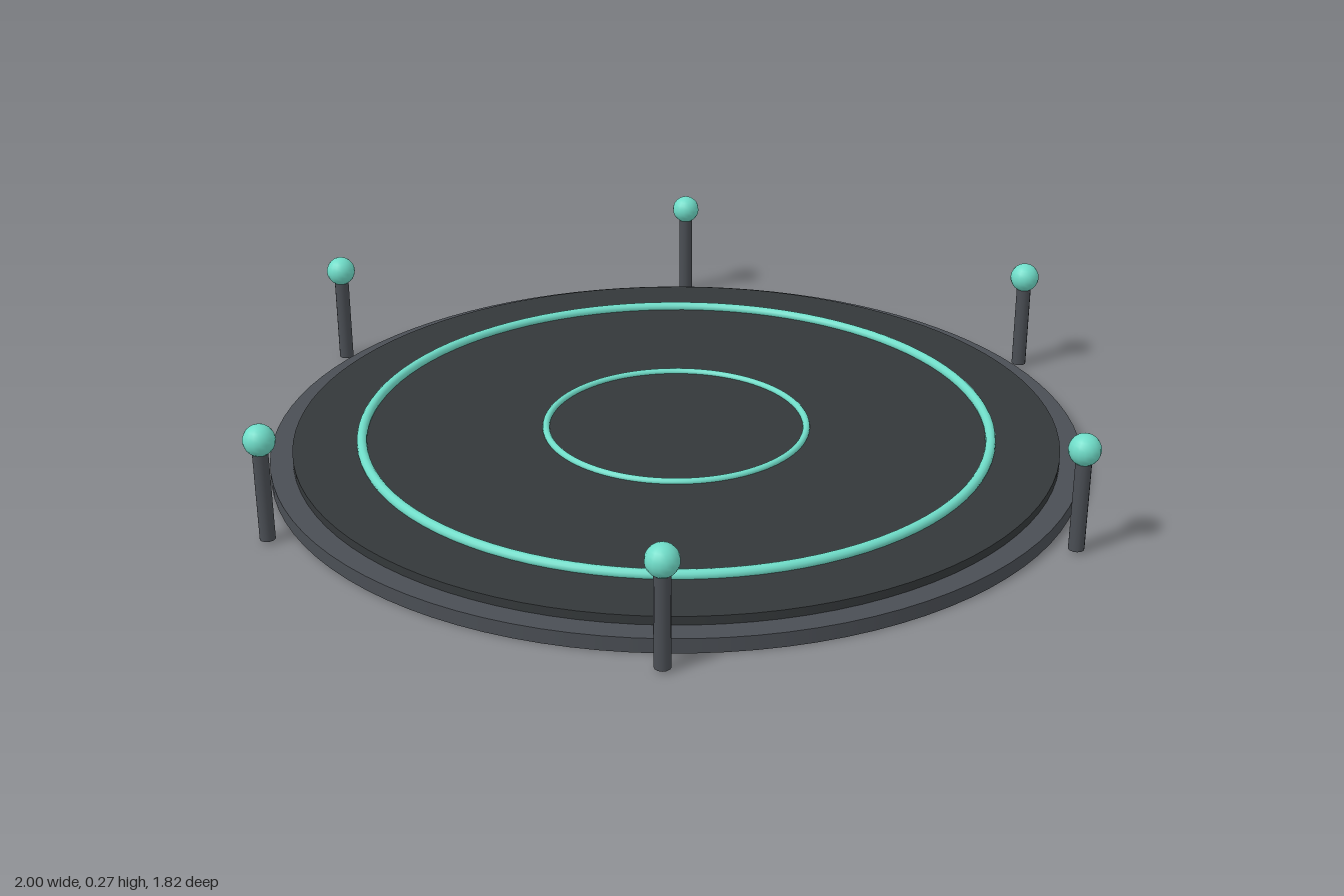
import * as THREE from 'three';

const material = (color) => new THREE.MeshStandardMaterial({ color });

export function createModel() {
  const model = new THREE.Group();
  model.name = 'landingPad';

  const rimMat = material(0x4a4e54);
  const deckMat = material(0x34383a);
  const glowMat = material(0x6fdcc8);

  const add = (name, geometry, mat, x, y, z, parent = model) => {
    const mesh = new THREE.Mesh(geometry, mat);
    mesh.name = name;
    mesh.position.set(x, y, z);
    parent.add(mesh);
    return mesh;
  };

  // Stepped round platform
  add('baseRim', new THREE.CylinderGeometry(0.91, 0.91, 0.032, 96), rimMat, 0, 0.016, 0);
  add('deck', new THREE.CylinderGeometry(0.86, 0.86, 0.046, 96), deckMat, 0, 0.028, 0);

  // Light rings half sunk into the deck
  const ring = (name, radius, tube, y) =>
    add(name, new THREE.TorusGeometry(radius, tube, 12, 96).rotateX(Math.PI / 2), glowMat, 0, y, 0);
  ring('outerLightRing', 0.707, 0.0115, 0.056);
  ring('innerLightRing', 0.295, 0.008, 0.053);

  // Six beacon posts standing around the platform
  const postGeo = new THREE.CylinderGeometry(0.017, 0.017, 0.215, 12);
  const lampGeo = new THREE.SphereGeometry(0.034, 16, 12);
  for (let i = 0; i < 6; i++) {
    const a = (i * Math.PI) / 3;
    const beacon = new THREE.Group();
    beacon.name = `beacon${i + 1}`;
    beacon.position.set(0.966 * Math.cos(a), 0, 0.966 * Math.sin(a));
    add('post', postGeo, rimMat, 0, 0.1125, 0, beacon);
    add('lamp', lampGeo, glowMat, 0, 0.231, 0, beacon);
    model.add(beacon);
  }

  return model;
}
